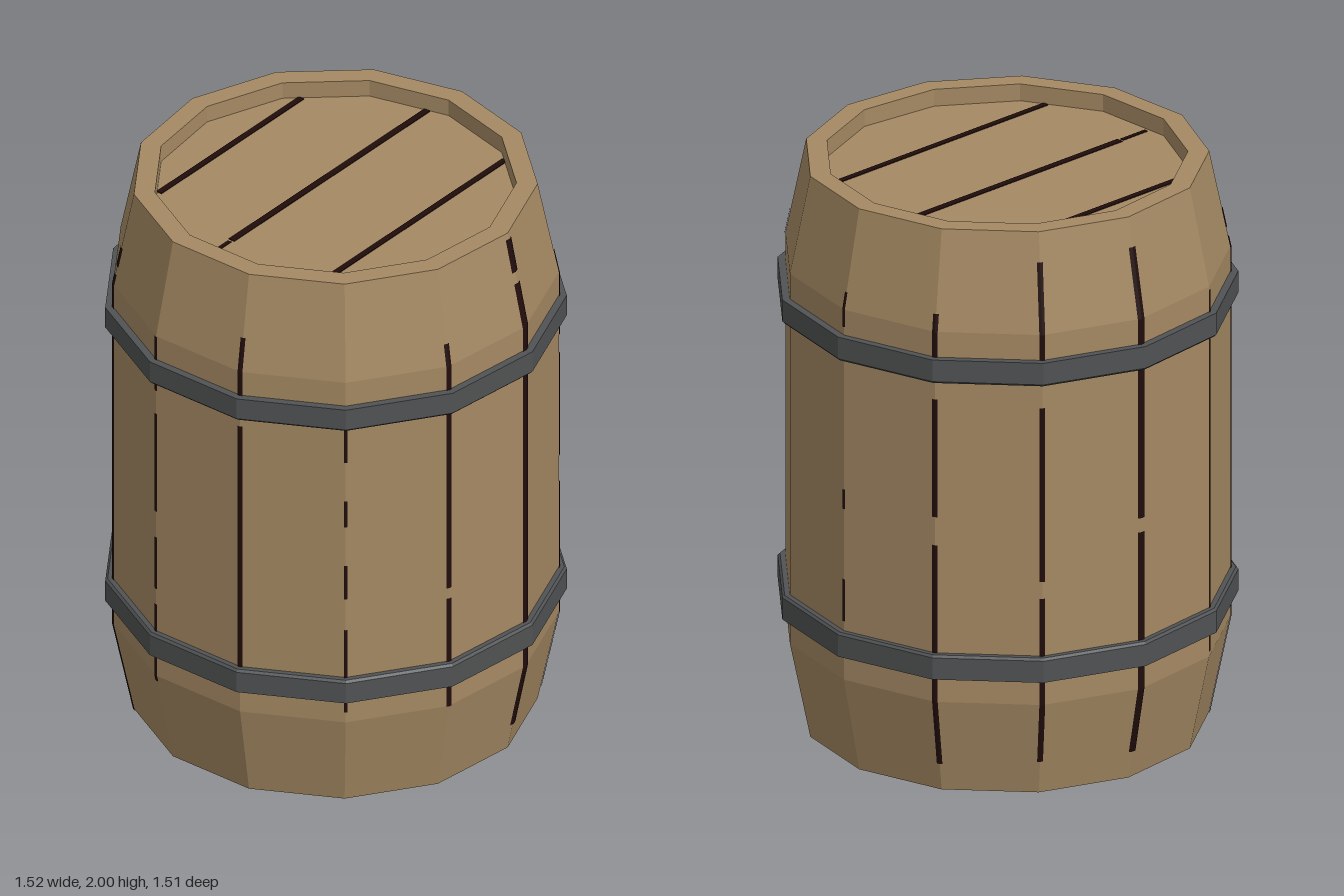
import * as THREE from 'three';

const SIDES = 13;
const AXIS_Z = 0.011; // an odd-sided barrel has its axis slightly off the middle

const wood = new THREE.MeshStandardMaterial({ color: 0xa58963 });
const iron = new THREE.MeshStandardMaterial({ color: 0x505253 });
const crack = new THREE.MeshStandardMaterial({ color: 0x200d0c });

// Faceted turned shape with a corner pointing at -z
function turned(profile, material, name) {
  const points = profile.map(([r, y]) => new THREE.Vector2(r, y));
  const geo = new THREE.LatheGeometry(points, SIDES, Math.PI).toNonIndexed();
  geo.computeVertexNormals();
  const mesh = new THREE.Mesh(geo, material);
  mesh.name = name;
  return mesh;
}

// Outer radius of the staves at height y
function radiusAt(y) {
  const fromEnd = Math.min(y, 2 - y);
  return 0.67 + 0.07 * Math.min(1, fromEnd / 0.34);
}

// Narrow dark strip folded over corner k, from height y0 to y1
function seam(k, y0, y1, width) {
  const levels = [y0, 0.34, 1.66, y1].filter((y) => y >= y0 && y <= y1);
  const corner = (i, r) => {
    const a = Math.PI + (i * 2 * Math.PI) / SIDES;
    return new THREE.Vector3(-Math.sin(a) * r, 0, Math.cos(a) * r);
  };
  const pos = [];
  const index = [];
  levels.forEach((y, row) => {
    const r = radiusAt(y) + 0.003;
    const mid = corner(k, r);
    [-1, 0, 1].forEach((s) => {
      const p = mid.clone();
      if (s) p.add(corner(k + s, r).sub(mid).setLength(width / 2));
      pos.push(p.x, y, p.z);
    });
    if (row === 0) return;
    for (let c = 0; c < 2; c++) {
      const a = (row - 1) * 3 + c;
      const b = row * 3 + c;
      index.push(a, b, a + 1, a + 1, b, b + 1);
    }
  });
  const indexed = new THREE.BufferGeometry();
  indexed.setAttribute('position', new THREE.Float32BufferAttribute(pos, 3));
  indexed.setIndex(index);
  const geo = indexed.toNonIndexed();
  geo.computeVertexNormals();
  const mesh = new THREE.Mesh(geo, crack);
  mesh.name = 'staveSeam';
  return mesh;
}

export function createModel() {
  const barrel = new THREE.Group();
  barrel.name = 'barrel';
  const parts = new THREE.Group();
  parts.name = 'barrelParts';
  parts.position.z = AXIS_Z;
  barrel.add(parts);

  // Staves with sunken heads at both ends
  parts.add(turned([
    [0, 0.06], [0.6, 0.06], [0.6, 0], [0.67, 0], [0.74, 0.34],
    [0.74, 1.66], [0.67, 2], [0.6, 2], [0.6, 1.94], [0, 1.94],
  ], wood, 'staves'));

  // Hoops, chamfered on the edge facing the middle
  const hoop = [[0.735, 0.43], [0.766, 0.43], [0.766, 0.507], [0.758, 0.515], [0.735, 0.515]];
  parts.add(turned(hoop, iron, 'lowerHoop'));
  parts.add(turned(hoop.map(([r, y]) => [r, 2 - y]).reverse(), iron, 'upperHoop'));

  // Gaps between staves: corner, width, then runs of heights
  const seams = [
    [0, 0.012, [0.55, 0.7], [0.95, 1.02], [1.6, 1.72]],
    [2, 0.016, [0.05, 0.85], [0.95, 1.35], [1.42, 1.75]],
    [3, 0.034, [0.1, 1.82], [1.86, 1.98]],
    [4, 0.02, [0.34, 0.76], [0.8, 1.74]],
    [5, 0.012, [0.38, 0.7], [0.82, 0.95], [1.1, 1.2], [1.35, 1.55]],
    [6, 0.018, [0.5, 1.45], [1.55, 1.78]],
    [7, 0.016, [0.32, 0.62], [0.68, 0.88], [0.98, 1.36], [1.45, 1.66]],
    [8, 0.032, [0, 1.7], [1.73, 1.8]],
    [9, 0.012, [0.36, 1.65]],
    [10, 0.028, [0.1, 0.9], [0.95, 1.9]],
    [11, 0.02, [0.12, 0.72], [0.78, 1.4], [1.5, 1.9]],
    [12, 0.02, [0.1, 0.9], [1.0, 1.42], [1.5, 1.72]],
  ];
  for (const [k, width, ...runs] of seams) {
    for (const [y0, y1] of runs) parts.add(seam(k, y0, y1, width));
  }

  // Gaps between the boards of the heads: x, z from, z to, height, width
  const headGaps = [
    [-0.445, -0.37, 0.38, 1.94, 0.022],
    [-0.075, -0.57, 0.46, 1.94, 0.024],
    [-0.075, 0.47, 0.58, 1.94, 0.014],
    [0.317, -0.49, 0.5, 1.94, 0.022],
    [-0.445, 0.0, 0.06, 0.06, 0.018],
    [-0.075, -0.5, 0.56, 0.06, 0.02],
    [0.317, -0.47, 0.4, 0.06, 0.022],
  ];
  for (const [x, z0, z1, y, width] of headGaps) {
    const gap = new THREE.Mesh(new THREE.BoxGeometry(width, 0.006, z1 - z0), crack);
    gap.name = 'headBoardGap';
    gap.position.set(x, y, (z0 + z1) / 2 - AXIS_Z);
    parts.add(gap);
  }
  return barrel;
}
